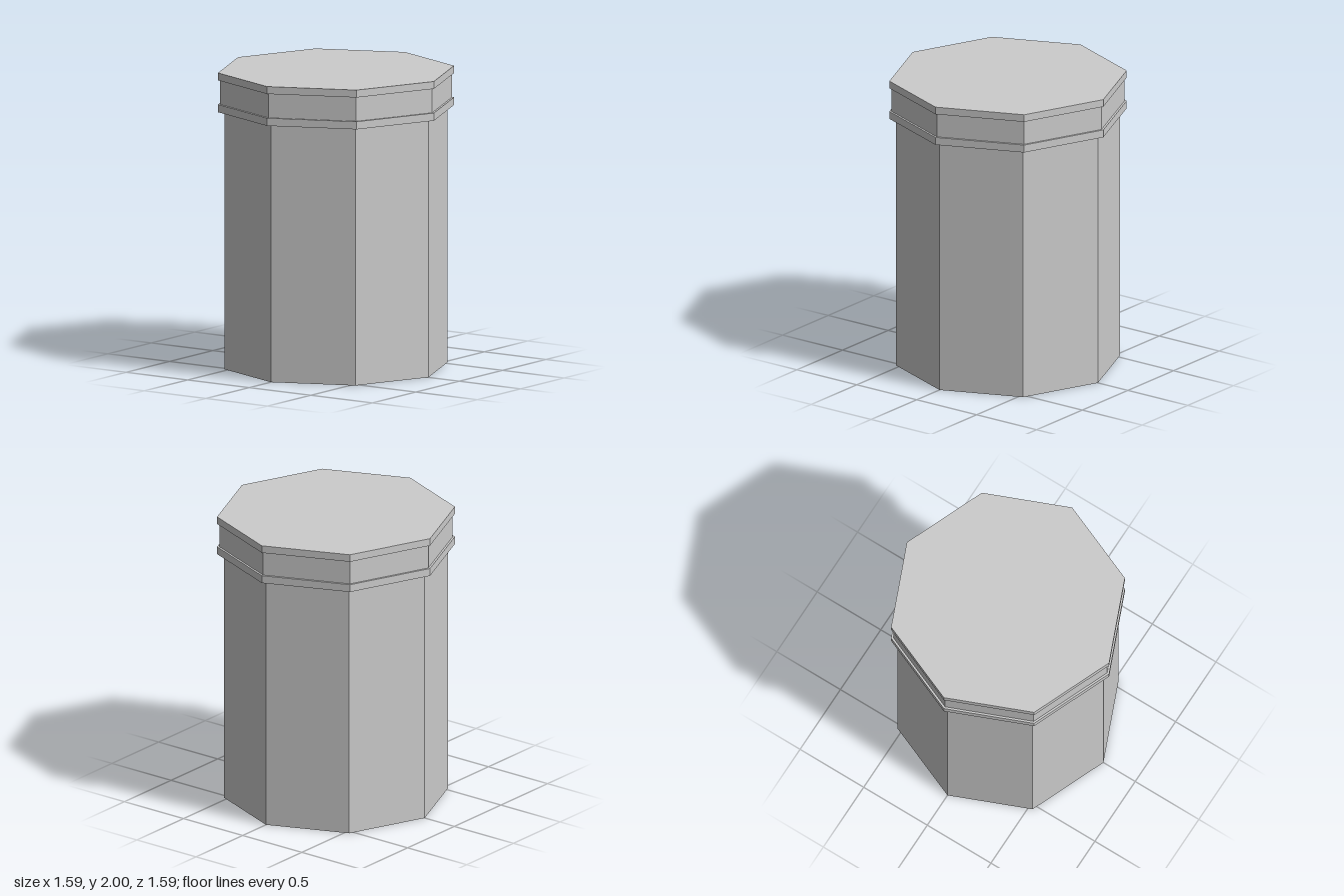
import * as THREE from 'three';

const SIDES = 8;

export function createModel() {
  const model = new THREE.Group();
  model.name = 'octagonalCanister';
  const material = new THREE.MeshStandardMaterial({ color: 0xcccccc, flatShading: true });

  // Octagonal prism between two heights, with a corner facing the front
  function prism(name, radius, bottom, top, open = false) {
    const geometry = new THREE.CylinderGeometry(radius, radius, top - bottom, SIDES, 1, open);
    const mesh = new THREE.Mesh(geometry, material);
    mesh.name = name;
    mesh.position.y = (bottom + top) / 2;
    model.add(mesh);
  }

  // Main container
  prism('body', 0.75, 0, 1.735);

  // Lid: a recessed band between two projecting rims
  prism('lowerRim', 0.795, 1.735, 1.787);
  prism('lidBand', 0.78, 1.787, 1.95, true);
  prism('upperRim', 0.795, 1.95, 2);

  return model;
}
